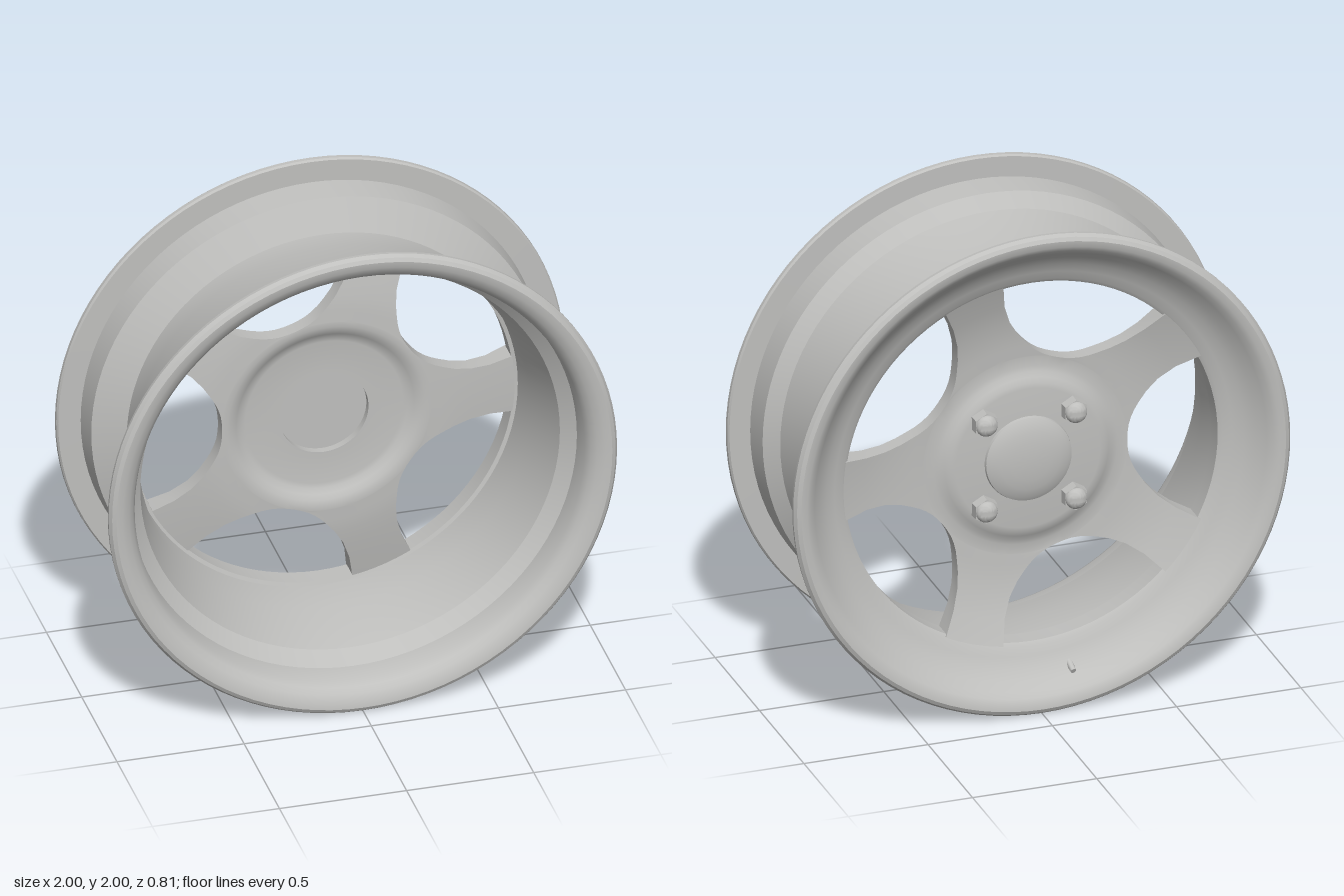
import * as THREE from 'three';
import { toCreasedNormals } from 'three/addons/utils/BufferGeometryUtils.js';

const metal = new THREE.MeshStandardMaterial({ color: 0xbfbfbd });
metal.name = 'satin silver';

function add(parent, name, geometry, crease = 0.5) {
  const mesh = new THREE.Mesh(toCreasedNormals(geometry, crease), metal);
  mesh.name = name;
  parent.add(mesh);
  return mesh;
}

// Lathe from [radius, z] pairs, turned so that its axis is z
function turned(points, segments = 96) {
  return new THREE.LatheGeometry(points.map(p => new THREE.Vector2(...p)), segments).rotateX(Math.PI / 2);
}

// Five-spoke plate: polar rows [radius, z], cut by the window half angle
function plateGeometry() {
  const windowRows = [[0.41, 0], [0.412, 4], [0.42, 8.5], [0.435, 12.5], [0.455, 15.8], [0.48, 18.6],
    [0.52, 22], [0.58, 25], [0.66, 26.6], [0.76, 26.8]];
  const front = [[0, -0.2], [0.175, -0.2], [0.175, -0.17], [0.31, -0.17], [0.33, -0.166], [0.35, -0.153],
    [0.37, -0.141], [0.39, -0.136], [0.41, -0.135], [0.5, -0.14], [0.6, -0.155], [0.7, -0.173], [0.76, -0.185]];
  const back = [[0, -0.225], [0.29, -0.225], [0.31, -0.222], [0.33, -0.212], [0.35, -0.202], [0.37, -0.197],
    [0.41, -0.196], [0.5, -0.203], [0.6, -0.22], [0.7, -0.25], [0.76, -0.275]];
  const lookUp = (table, r) => {
    const i = table.findIndex(p => p[0] >= r);
    if (i <= 0) return table[0][1];
    const [a, b] = [table[i - 1], table[i]];
    return a[1] + (b[1] - a[1]) * (r - a[0]) / (b[0] - a[0]);
  };
  const halfAngle = r => (36 - lookUp(windowRows, r)) * Math.PI / 180;
  const pos = [];
  const point = (r, t, z) => [r * Math.cos(t), r * Math.sin(t), z];
  const quad = (a, b, c, d, flip) => {
    if (flip) [b, d] = [d, b];
    pos.push(...a, ...b, ...c, ...a, ...c, ...d);
  };
  const rows = table => [
    ...table.filter(p => p[0] < 0.41),
    ...windowRows.map(([r]) => [r, lookUp(table, r)]),
  ];
  const N = 16;
  for (let k = 0; k < 5; k++) {
    const mid = k * Math.PI * 0.4;
    // Front and back faces
    for (const [table, flip] of [[rows(front), false], [rows(back), true]]) {
      for (let i = 0; i < table.length - 1; i++) {
        const [[r0, z0], [r1, z1]] = [table[i], table[i + 1]];
        for (let j = 0; j < N; j++) {
          const u = 2 * j / N - 1, v = 2 * (j + 1) / N - 1;
          const h0 = halfAngle(r0), h1 = halfAngle(r1);
          quad(point(r0, mid + u * h0, z0), point(r1, mid + u * h1, z1),
            point(r1, mid + v * h1, z1), point(r0, mid + v * h0, z0), flip);
        }
      }
    }
    // Window walls on both sides of the spoke
    for (let i = 0; i < windowRows.length - 1; i++) {
      const r0 = windowRows[i][0], r1 = windowRows[i + 1][0];
      for (const s of [1, -1]) {
        const t0 = mid + s * halfAngle(r0), t1 = mid + s * halfAngle(r1);
        quad(point(r0, t0, lookUp(front, r0)), point(r1, t1, lookUp(front, r1)),
          point(r1, t1, lookUp(back, r1)), point(r0, t0, lookUp(back, r0)), s < 0);
      }
    }
  }
  const g = new THREE.BufferGeometry();
  g.setAttribute('position', new THREE.Float32BufferAttribute(pos, 3));
  return g;
}

export function createModel() {
  const model = new THREE.Group();
  model.name = 'wheel';
  const wheel = new THREE.Group();
  wheel.name = 'wheelAssembly';
  wheel.position.y = 1;
  model.add(wheel);

  // Rim: closed section, outside from back to front, then inside to the back
  add(wheel, 'rim', turned([
    [0.95, -0.4], [0.975, -0.403], [0.99, -0.395], [1, -0.38], [0.999, -0.366], [0.993, -0.358],
    [0.905, -0.357], [0.893, -0.25], [0.77, -0.19], [0.77, -0.1], [0.845, 0.2], [0.9, 0.245], [0.91, 0.357],
    [0.993, 0.358], [0.999, 0.366], [1, 0.38], [0.99, 0.395], [0.975, 0.403], [0.95, 0.4],
    [0.92, 0.385], [0.9, 0.365], [0.885, 0.335],
    [0.878, 0.25], [0.825, 0.2], [0.77, -0.02], [0.765, -0.18],
    [0.75, -0.185], [0.75, -0.262], [0.765, -0.273], [0.8, -0.285], [0.84, -0.305], [0.88, -0.335],
    [0.91, -0.368], [0.93, -0.388], [0.95, -0.4],
  ]), 0.48);

  add(wheel, 'spokedPlate', plateGeometry(), 0.6);

  // Domed centre cap on the back face
  const dome = [[0.175, 0], [0.172, 0.012], [0.155, 0.021], [0.12, 0.031], [0.08, 0.037], [0.04, 0.04], [0, 0.041]];
  const cap = add(wheel, 'centreCap', turned(dome, 48), 0.6);
  cap.rotation.x = Math.PI;
  cap.position.z = -0.224;

  // Four hexagonal nuts with rounded ends
  for (const x of [-0.18, 0.18]) for (const y of [-0.18, 0.18]) {
    const nut = new THREE.Group();
    nut.name = 'wheelNut';
    nut.position.set(x, y, -0.22);
    nut.rotation.x = -Math.PI / 2;
    add(nut, 'nutBody', new THREE.CylinderGeometry(0.05, 0.053, 0.045, 6).translate(0, 0.0225, 0), 0.3);
    add(nut, 'nutDome', new THREE.SphereGeometry(0.043, 20, 8, 0, Math.PI * 2, 0, Math.PI / 2)
      .scale(1, 0.65, 1).translate(0, 0.045, 0), 0.6);
    wheel.add(nut);
  }

  // Valve passing through the sloping wall of the rim
  const inner = new THREE.Vector3(-0.13, -0.795, -0.2);
  const outer = new THREE.Vector3(-0.14, -0.862, -0.345);
  const axis = outer.clone().sub(inner);
  const valve = add(wheel, 'valve', new THREE.CylinderGeometry(0.011, 0.022, axis.length(), 16));
  valve.position.copy(inner).add(outer).multiplyScalar(0.5);
  valve.quaternion.setFromUnitVectors(new THREE.Vector3(0, 1, 0), axis.normalize());

  return model;
}
